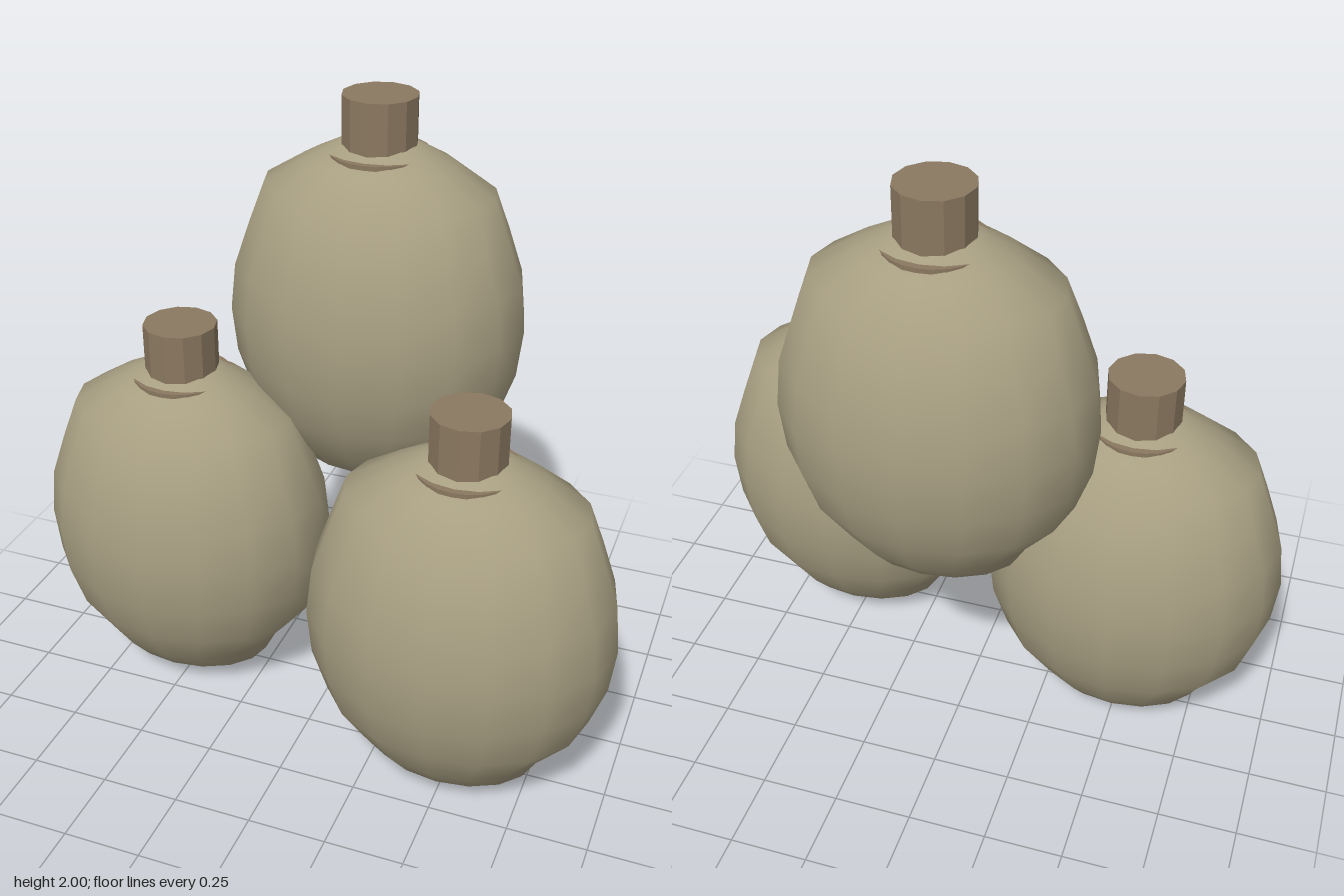
import * as THREE from 'three';

const bodyMat = new THREE.MeshStandardMaterial({ color: 0xa89f82 });
bodyMat.name = 'khaki shell';
const capMat = new THREE.MeshStandardMaterial({ color: 0x8a7860 });
capMat.name = 'brown cap';

const ROWS = 12, SIDES = 16;
const CENTER_Y = 0.585, RADII = [0.483, 0.58, 0.38];
// sideways bulge or pinch of single rows, counted from the top
const ROW_WIDTH = { 3: 1.085, 9: 0.91, 10: 1.09, 11: 1.1 };

// Flattened egg-shaped body with slight shoulders
function bodyGeometry() {
  const geo = new THREE.SphereGeometry(1, SIDES, ROWS);
  geo.scale(...RADII);
  const pos = geo.attributes.position;
  for (let i = 0; i < pos.count; i++) {
    const row = Math.floor(i / (SIDES + 1));
    pos.setX(i, pos.getX(i) * (ROW_WIDTH[row] ?? 1));
    if (row === 3) pos.setY(i, pos.getY(i) + 0.012);
  }
  geo.translate(0, CENTER_Y, 0);
  return geo;
}

// Upright cylinder between two heights
function drum(radius, bottom, top, sides) {
  const geo = new THREE.CylinderGeometry(radius, radius, top - bottom, sides);
  geo.translate(0, (bottom + top) / 2, 0);
  return geo;
}

function part(name, geo, mat) {
  const mesh = new THREE.Mesh(geo, mat);
  mesh.name = name;
  return mesh;
}

export function createModel() {
  const model = new THREE.Group();
  model.name = 'flaskCluster';

  const body = bodyGeometry();
  const neck = drum(0.118, 1.08, 1.295, 12).toNonIndexed();
  neck.computeVertexNormals(); // faceted sides
  const collar = drum(0.16, 1.06, 1.12, 24); // mostly sunk into the body

  const places = [
    ['rightFlask', -0.51, 0, 0.037],
    ['leftFlask', 0.51, 0, 0.272],
    ['upperFlask', 0.037, 0.705, -0.28],
  ];
  for (const [name, x, y, z] of places) {
    const flask = new THREE.Group();
    flask.name = name;
    flask.add(
      part('body', body, bodyMat),
      part('collar', collar, capMat),
      part('neck', neck, capMat),
    );
    flask.position.set(x, y, z);
    model.add(flask);
  }
  return model;
}
